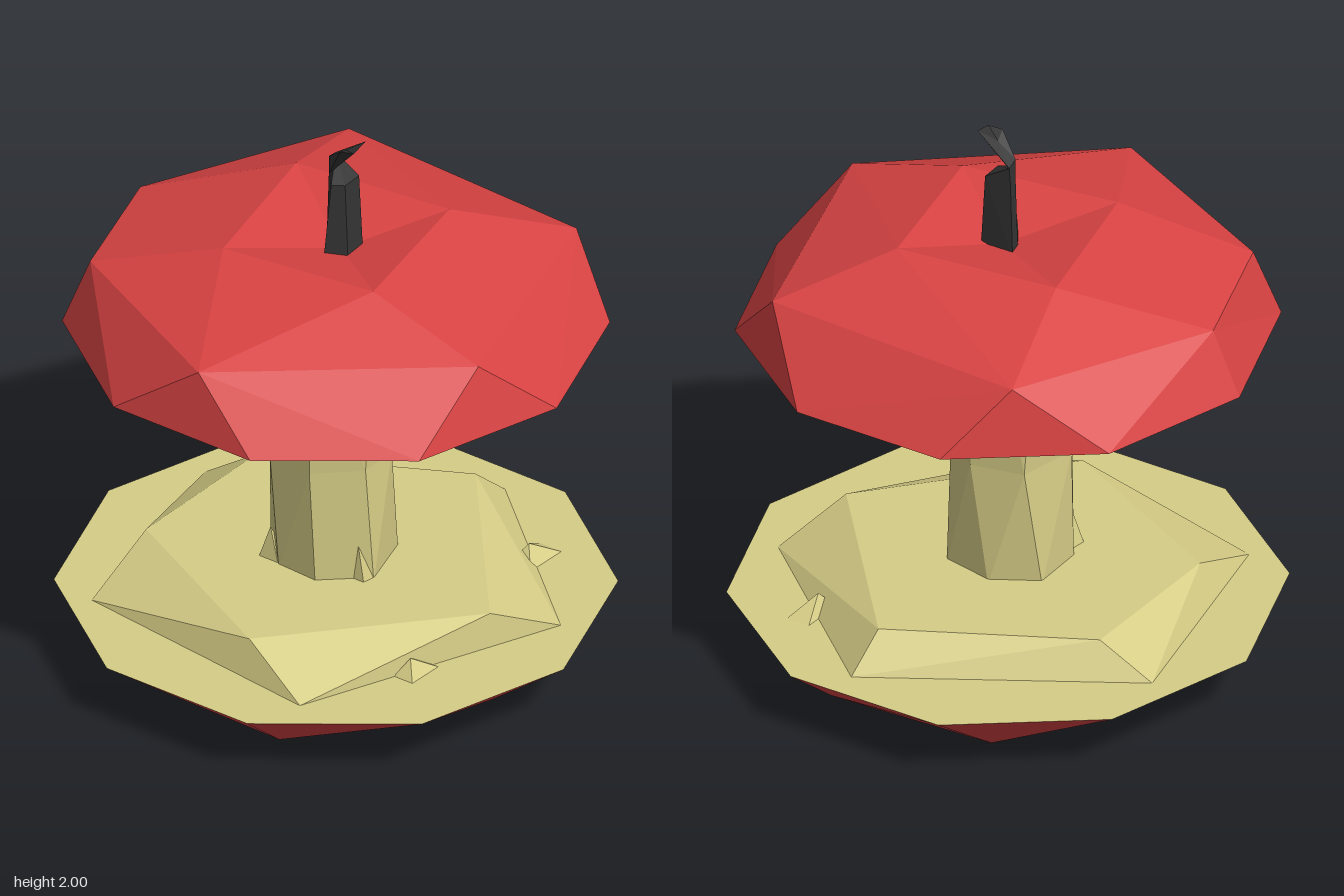
import * as THREE from 'three';

// Ring of [x, z] points (or [x, z, y]) at height y, sorted around the axis
const ring = (y, pts) => pts
  .map(p => new THREE.Vector3(p[0], p[2] ?? y, p[1]))
  .sort((a, b) => Math.atan2(a.z, a.x) - Math.atan2(b.z, b.x));

// Regular polygon ring with a corner pointing to the back
const polygon = (y, r, n) => ring(y, Array.from({ length: n }, (_, i) => {
  const a = i * 2 * Math.PI / n - Math.PI / 2;
  return [r * Math.cos(a), r * Math.sin(a)];
}));

// Stitch rings of any corner count into a faceted skin, using the shorter diagonal
function skin(name, rings, color) {
  const out = [];
  const add = (...v) => v.forEach(p => out.push(p.x, p.y, p.z));
  for (let k = 0; k < rings.length - 1; k++) {
    const a = rings[k], b = rings[k + 1];
    const na = a.length > 1 ? a.length : 0, nb = b.length > 1 ? b.length : 0;
    let s = 0;
    b.forEach((p, i) => { if (p.distanceTo(a[0]) < b[s].distanceTo(a[0])) s = i; });
    const A = i => a[i % a.length], B = j => b[(j + s) % b.length];
    let i = 0, j = 0;
    while (i < na || j < nb) {
      const stepA = j >= nb || (i < na && A(i + 1).distanceTo(B(j)) < A(i).distanceTo(B(j + 1)));
      if (stepA) { add(A(i), B(j), A(i + 1)); i++; }
      else { add(A(i), B(j), B(j + 1)); j++; }
    }
  }
  const geo = new THREE.BufferGeometry();
  geo.setAttribute('position', new THREE.Float32BufferAttribute(out, 3));
  geo.computeVertexNormals();
  const mesh = new THREE.Mesh(geo, new THREE.MeshStandardMaterial({
    color, flatShading: true, side: THREE.DoubleSide,
  }));
  mesh.name = name;
  return mesh;
}

export function createModel() {
  const RED = 0xd94343, FLESH = 0xd6cd86, DARK = 0x333333;
  const group = new THREE.Group();
  group.name = 'eatenApple';

  // Upper cap: red skin with a dimple at the top
  const capRim = polygon(1.26, 0.925, 10);
  const shoulder = [[-0.84, 0.04], [-0.25, 0.78], [0.65, 0.53], [0.7, -0.46], [0, -0.82, 1.49], [-0.49, -0.67]];
  group.add(skin('capSkin', [
    capRim,
    ring(1.5, shoulder),
    ring(1.635, [[0.25, -0.35], [-0.33, -0.23], [-0.25, 0.34], [0.32, 0.24]]),
    ring(1.56, [[0, 0.02]]),
  ], RED));

  // Hollow flesh under the cap
  group.add(skin('capFlesh', [
    ring(1.4, [[0, 0]]),
    ring(1.39, shoulder.map(([x, z]) => [x * 0.83, z * 0.83])),
    capRim,
  ], FLESH));

  // Lower part: red skin and raised flesh
  const baseRim = polygon(0.225, 0.953, 10);
  group.add(skin('baseSkin', [
    ring(0, [[0, 0]]),
    ring(0.01, [[-0.65, 0.24], [-0.21, -0.67], [0.61, -0.32], [0.64, 0.3], [-0.02, 0.67]]),
    baseRim,
  ], RED));
  group.add(skin('baseFlesh', [
    baseRim,
    ring(0.225, [[-0.71, 0.37], [0.22, 0.78], [0.8, 0.12], [0.29, -0.76], [-0.59, -0.59]]),
    ring(0.35, [[-0.63, 0.1], [-0.02, 0.66], [0.66, 0.1], [0.32, -0.57], [-0.28, -0.59]]),
    ring(0.35, [[0, 0]]),
  ], FLESH));

  // Core column, slightly twisted
  group.add(skin('core', [
    ring(0.33, [[-0.2, 0.06], [-0.07, 0.21], [0.15, 0.15], [0.19, -0.04], [0.1, -0.2], [-0.1, -0.2], [-0.19, -0.1]]),
    ring(0.78, [[-0.22, 0.05], [-0.09, 0.19], [0.06, 0.19], [0.19, 0.03], [0.15, -0.16], [-0.07, -0.21], [-0.2, -0.13]]),
    ring(1.4, [[-0.245, 0.08], [-0.08, 0.22], [0.17, 0.16], [0.2, -0.06], [0.13, -0.2], [-0.06, -0.23], [-0.22, -0.13]]),
  ], FLESH));

  // Small torn bits: [x, y, z, width, height, depth]
  [[-0.09, 0.46, 0.16, 0.05, 0.22, 0.1], [-0.16, 0.4, -0.14, 0.06, 0.14, 0.1],
    [0.52, 0.25, 0.46, 0.2, 0.08, 0.12], [-0.3, 0.25, 0.56, 0.16, 0.07, 0.1]]
    .forEach(([x, y, z, w, h, d]) => {
      const bit = skin('tornBit', [
        ring(-0.5, [[-0.5, -0.5], [0.5, -0.4], [0.5, 0.5], [-0.5, 0.4]]),
        ring(0.5, [[-0.15, -0.1]]),
      ], FLESH);
      bit.position.set(x, y, z);
      bit.scale.set(w, h, d);
      group.add(bit);
    });

  // Bent stem with a slanted tip
  group.add(skin('stem', [
    ring(1.55, [[-0.085, 0.01], [-0.04, 0.08], [0.045, 0.08], [0.05, -0.05], [0, -0.04]]),
    ring(1.84, [[-0.055, 0.02], [-0.03, 0.06], [0.05, 0.06], [0.048, -0.04], [0, -0.03]]),
    ring(2, [[-0.045, 0.05, 1.98], [-0.035, 0.1, 1.985], [0.035, 0.1], [0.048, -0.035, 1.9], [0, -0.03, 1.91]]),
    ring(1.96, [[0, 0.04]]),
  ], DARK));

  return group;
}
